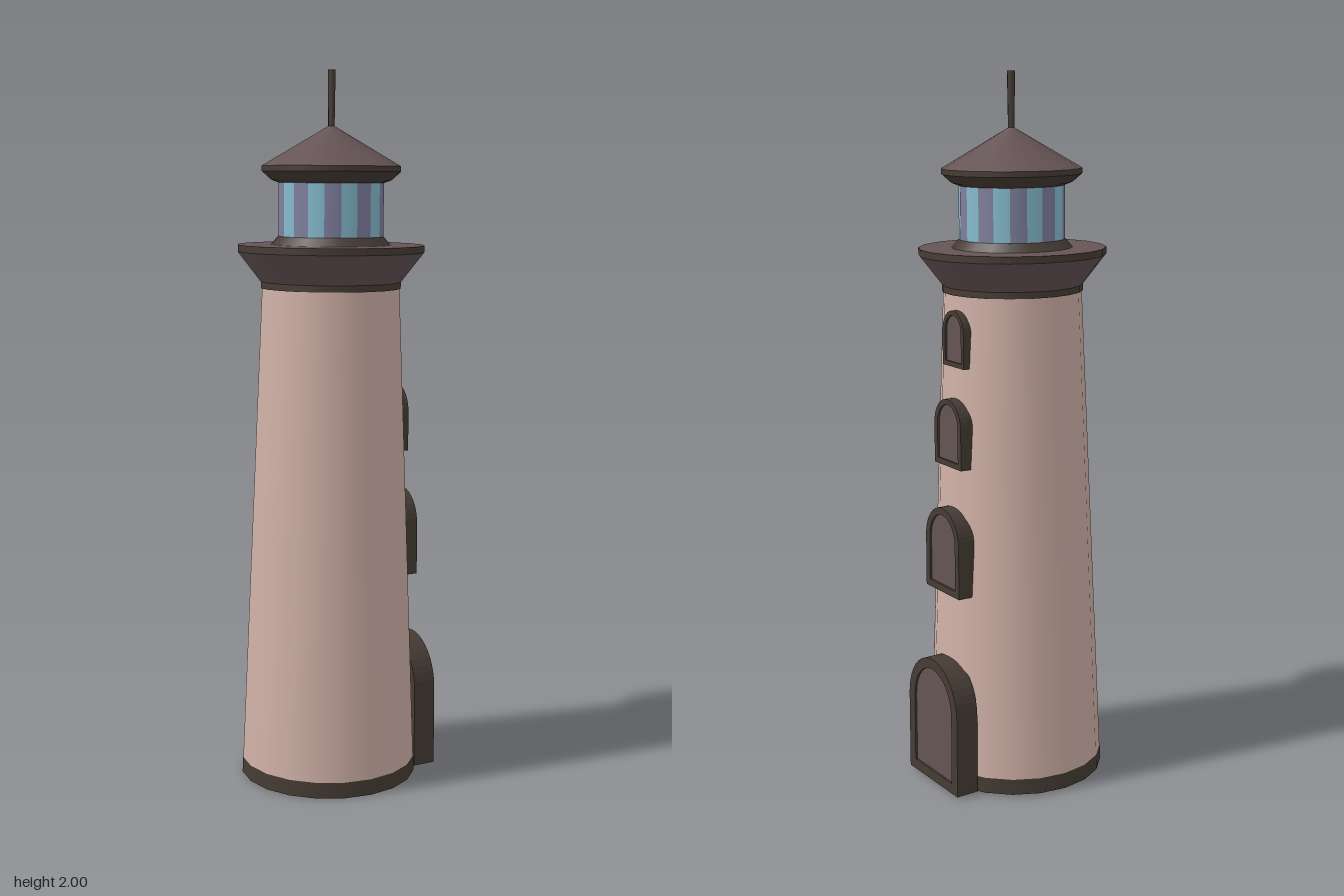
import * as THREE from 'three';

const SIDES = 20;
const mat = (color) => new THREE.MeshStandardMaterial({ color });
const wall = mat(0xd0b1a7), stone = mat(0x665455), trim = mat(0x463c34);
const glassLight = mat(0x86bccf), glassDark = mat(0x80809f);

function add(parent, name, geometry, material) {
  const mesh = new THREE.Mesh(geometry, material);
  mesh.name = name;
  parent.add(mesh);
  return mesh;
}

// Ring section between two heights, optionally capped
function ring(parent, name, material, r0, y0, r1, y1, open = true, sides = SIDES) {
  const geo = new THREE.CylinderGeometry(r1, r0, y1 - y0, sides, 1, open);
  return add(parent, name, geo.translate(0, (y0 + y1) / 2, 0), material);
}

// Round-topped outline standing on y0
function arch(Type, half, y0, top) {
  const rise = half * 1.12, spring = top - rise;
  const path = new Type();
  path.moveTo(-half, y0);
  path.lineTo(half, y0);
  path.lineTo(half, spring);
  path.absellipse(0, spring, half, rise, 0, Math.PI, false);
  path.lineTo(-half, y0);
  return path;
}

// Raised arched frame with a slightly sunken panel, facing +x
function opening(parent, name, half, y0, top, xBack, xFace, border) {
  const group = new THREE.Group();
  group.name = name;
  const frame = arch(THREE.Shape, half, y0, top);
  const inner = [half - border, y0 + border, top - border];
  frame.holes.push(arch(THREE.Path, ...inner));
  const depth = xFace - xBack;
  add(group, name + 'Frame',
    new THREE.ExtrudeGeometry(frame, { depth, bevelEnabled: false, curveSegments: 10 }), trim);
  add(group, name + 'Panel',
    new THREE.ExtrudeGeometry(arch(THREE.Shape, ...inner),
      { depth: depth - 0.006, bevelEnabled: false, curveSegments: 10 }), stone);
  group.rotation.y = Math.PI / 2;
  group.position.set(xBack, 0, -0.016);
  parent.add(group);
}

export function createModel() {
  const model = new THREE.Group();
  model.name = 'lighthouse';

  // The tower leans very slightly forward
  const tower = new THREE.Group();
  tower.name = 'tower';
  tower.position.set(-0.013, 0.002, -0.016);
  tower.rotation.x = 0.0125;
  model.add(tower);

  // Foot and shaft
  ring(tower, 'footBand', trim, 0.252, 0, 0.251, 0.045);
  const floor = new THREE.CircleGeometry(0.252, SIDES).rotateX(Math.PI / 2);
  add(tower, 'floor', floor, stone);
  ring(tower, 'shaft', wall, 0.25, 0.04, 0.193, 1.41);

  // Flared gallery
  ring(tower, 'galleryCollar', trim, 0.197, 1.402, 0.197, 1.42, false);
  ring(tower, 'galleryFlare', stone, 0.197, 1.42, 0.261, 1.503);
  ring(tower, 'galleryRim', trim, 0.261, 1.503, 0.261, 1.522);
  const deck = new THREE.CircleGeometry(0.261, SIDES).rotateX(-Math.PI / 2).rotateY(Math.PI / 2);
  add(tower, 'galleryDeck', deck.translate(0, 1.522, 0), stone);

  // Lantern room with alternating panes
  ring(tower, 'lanternFoot', trim, 0.168, 1.522, 0.148, 1.545, false);
  const lantern = new THREE.Group();
  lantern.name = 'lantern';
  tower.add(lantern);
  const step = Math.PI * 2 / SIDES;
  for (let i = 0; i < SIDES; i++) {
    const pane = new THREE.CylinderGeometry(0.147, 0.147, 0.155, 1, 1, true, i * step, step);
    add(lantern, 'pane', pane.translate(0, 1.62, 0), i % 2 ? glassLight : glassDark);
  }

  // Roof and spire
  ring(tower, 'eavesLower', trim, 0.147, 1.692, 0.168, 1.7, false);
  ring(tower, 'eavesUpper', trim, 0.168, 1.7, 0.194, 1.723);
  ring(tower, 'roofEdge', trim, 0.194, 1.723, 0.194, 1.738);
  ring(tower, 'roof', stone, 0.194, 1.738, 0.006, 1.848);
  ring(tower, 'spire', trim, 0.009, 1.835, 0.011, 1.998, true, 8);
  const tip = new THREE.CircleGeometry(0.011, 8).rotateX(-Math.PI / 2);
  add(tower, 'spireTip', tip.translate(0, 1.998, 0), wall);

  // Door and windows on the left side
  opening(model, 'door', 0.129, 0.004, 0.376, 0.205, 0.273, 0.03);
  opening(model, 'lowerWindow', 0.086, 0.57, 0.815, 0.185, 0.236, 0.02);
  opening(model, 'middleWindow', 0.068, 0.932, 1.122, 0.17, 0.215, 0.016);
  opening(model, 'upperWindow', 0.053, 1.21, 1.365, 0.155, 0.195, 0.013);

  return model;
}
